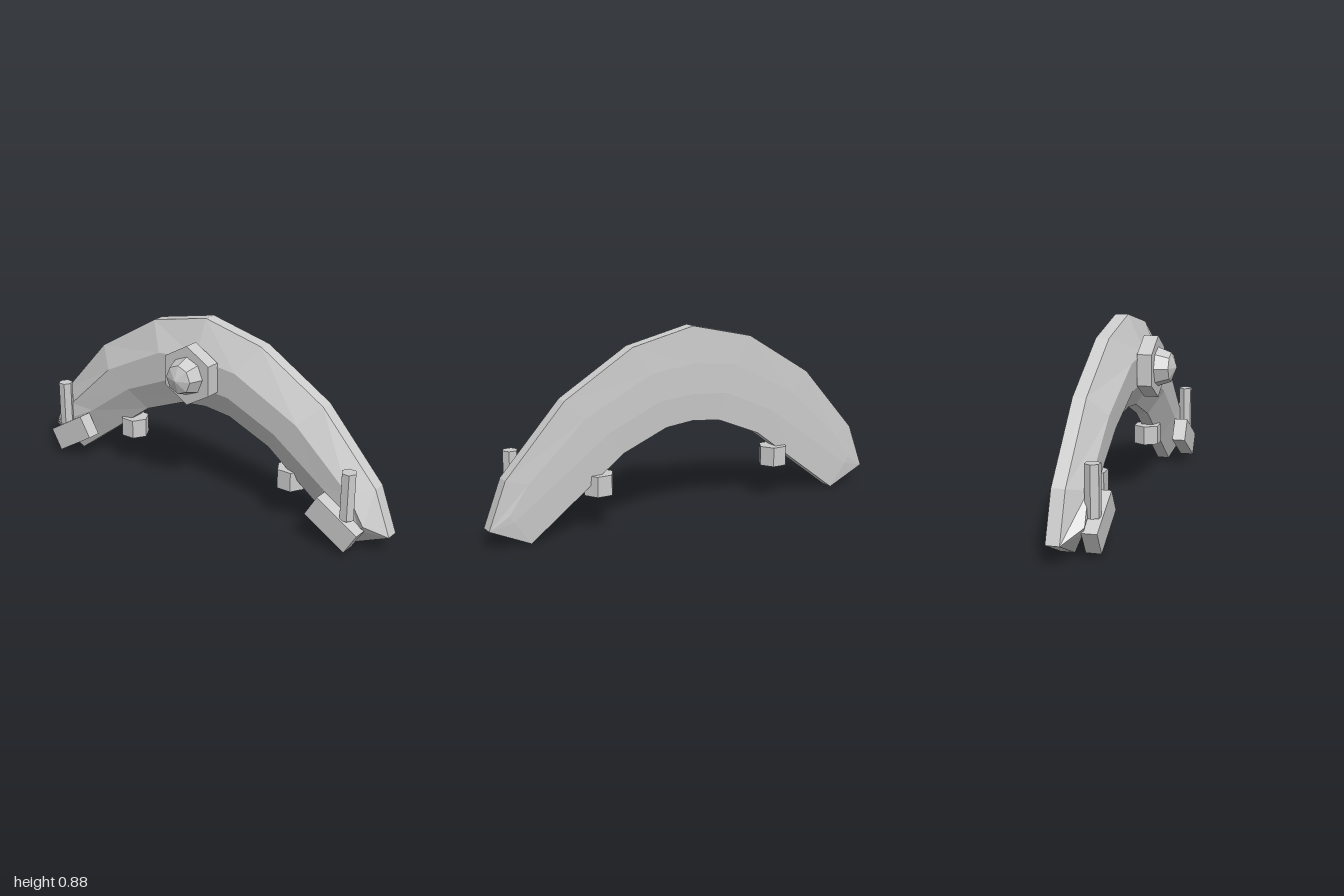
import * as THREE from 'three';

const material = new THREE.MeshStandardMaterial({ color: 0xcccccc, flatShading: true });

function add(parent, name, geometry, x, y, z) {
  const mesh = new THREE.Mesh(geometry, material);
  mesh.name = name;
  mesh.position.set(x, y, z);
  parent.add(mesh);
  return mesh;
}

// Half of the arch from the crown to the tip:
// [outer edge, outer ridge, inner ridge, inner edge] as x, y pairs, then ridge depths
const STATIONS = [
  { p: [[0, 0.88], [0, 0.71], [0, 0.57], [0, 0.445]], z: [0.008, 0] },
  { p: [[0.31, 0.81], [0.22, 0.685], [0.18, 0.555], [0.14, 0.43]], z: [0.006, 0] },
  { p: [[0.64, 0.61], [0.55, 0.52], [0.43, 0.445], [0.36, 0.34]], z: [0, -0.004] },
  { p: [[0.92, 0.3], [0.82, 0.27], [0.68, 0.265], [0.6, 0.16]], z: [-0.008, -0.01] },
  { p: [[1, 0.09], [0.91, 0.145], [0.89, 0.115], [0.81, 0.003]], z: [0.004, -0.008] },
];

// Eight-point ring: over the front ridges, round the inner rim, back over the rear
function ring({ p: [o, r, s, i], z }, side) {
  return [
    [o, -0.07], [r, z[0]], [s, z[1]], [i, -0.07],
    [i, -0.13], [s, -0.138], [r, -0.138], [o, -0.13],
  ].map(([[x, y], d]) => [x * side, y, d]);
}

function archGeometry() {
  const rings = [
    ...STATIONS.slice(1).reverse().map((s) => ring(s, -1)),
    ...STATIONS.map((s) => ring(s, 1)),
  ];
  const positions = [];
  const tri = (a, b, c) => positions.push(...a, ...b, ...c);
  for (let k = 0; k < rings.length - 1; k++) {
    for (let i = 0; i < 8; i++) {
      const j = (i + 1) % 8;
      const a = rings[k][i], b = rings[k][j], c = rings[k + 1][j], d = rings[k + 1][i];
      tri(a, b, c);
      tri(a, c, d);
    }
  }
  // Faceted end caps
  const first = rings[0], last = rings[rings.length - 1];
  for (const [a, b, c] of [[0, 1, 2], [0, 2, 3], [0, 3, 4], [0, 4, 7], [7, 4, 5], [7, 5, 6]]) {
    tri(last[a], last[b], last[c]);
    tri(first[a], first[c], first[b]);
  }
  const geometry = new THREE.BufferGeometry();
  geometry.setAttribute('position', new THREE.Float32BufferAttribute(positions, 3));
  geometry.computeVertexNormals();
  return geometry;
}

// Upright hexagonal prism with corners on its left and right
const hexPost = (radius, height) =>
  new THREE.CylinderGeometry(radius, radius, height, 6).rotateY(Math.PI / 6);

export function createModel() {
  const model = new THREE.Group();
  model.name = 'archedBand';

  add(model, 'arch', archGeometry(), 0, 0, 0);

  // Central hexagonal mount with a faceted gem
  const mount = new THREE.CylinderGeometry(0.143, 0.143, 0.068, 6).rotateX(Math.PI / 2);
  add(model, 'gemMount', mount, 0, 0.643, 0.039);
  const gemBody = new THREE.CylinderGeometry(0.068, 0.091, 0.062, 8, 1, true).rotateX(Math.PI / 2);
  add(model, 'gemBody', gemBody, 0, 0.643, 0.104);
  const gemTip = new THREE.ConeGeometry(0.068, 0.026, 8, 1, true).rotateX(Math.PI / 2);
  add(model, 'gemTip', gemTip, 0, 0.643, 0.148);

  // Mirrored fittings at both ends
  for (const side of [-1, 1]) {
    const label = side > 0 ? 'left' : 'right';
    const block = add(model, label + 'EndBlock', new THREE.BoxGeometry(0.24, 0.117, 0.067), side * 0.778, 0.133, 0.022);
    block.rotation.z = -side * 0.54;
    add(model, label + 'Pin', hexPost(0.035, 0.222), side * 0.835, 0.279, 0.016);
    add(model, label + 'RearStud', hexPost(0.07, 0.093), side * 0.47, 0.214, -0.1);
  }
  return model;
}
